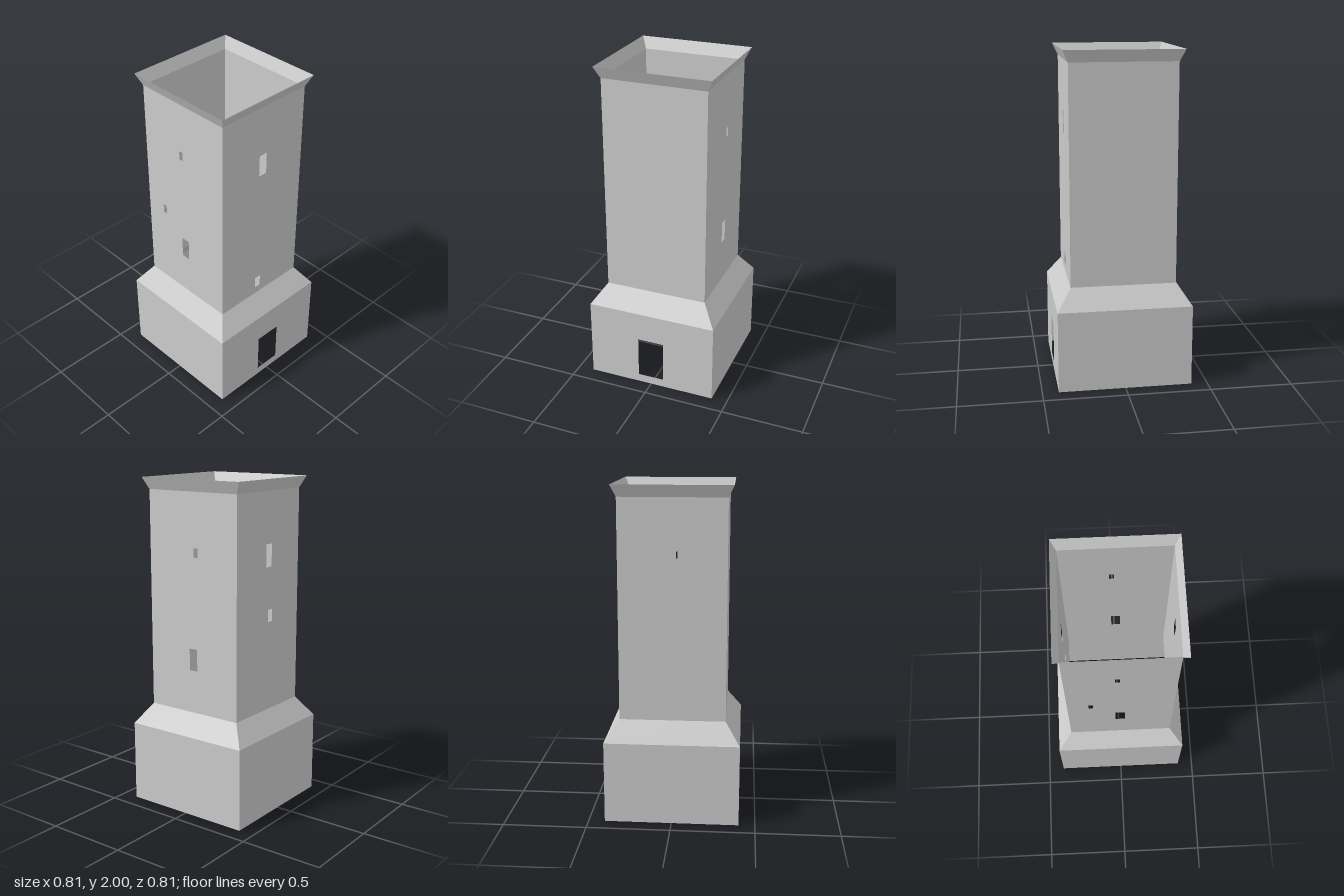
import * as THREE from 'three';

const BASE = 0.4025, SHAFT = 0.316, RIM = 0.348; // half widths
const Y_BASE = 0.495, Y_SHAFT = 0.62, Y_RIM = 1.93, Y_TOP = 2;

const material = new THREE.MeshStandardMaterial({
  color: 0xcccccc, flatShading: true, side: THREE.DoubleSide,
});

// Closed rectangle outline in the wall's own plane
function rectangle(PathType, u0, u1, y0, y1) {
  const p = new PathType();
  p.moveTo(u0, y0);
  p.lineTo(u1, y0);
  p.lineTo(u1, y1);
  p.lineTo(u0, y1);
  p.closePath();
  return p;
}

// Thin wall facing outward at a given turn; openings are [u0, u1, y0, y1]
function wall(name, half, y0, y1, turn, openings) {
  const shape = rectangle(THREE.Shape, -half, half, y0, y1);
  for (const o of openings) shape.holes.push(rectangle(THREE.Path, ...o));
  const geometry = new THREE.ShapeGeometry(shape);
  geometry.translate(0, 0, half).rotateY(turn);
  const mesh = new THREE.Mesh(geometry, material);
  mesh.name = name;
  return mesh;
}

// Open square band whose width changes between two heights
function band(name, halfBottom, halfTop, y0, y1) {
  const k = Math.SQRT2;
  const geometry = new THREE.CylinderGeometry(halfTop * k, halfBottom * k, y1 - y0, 4, 1, true);
  geometry.rotateY(Math.PI / 4).translate(0, (y0 + y1) / 2, 0);
  const mesh = new THREE.Mesh(geometry, material);
  mesh.name = name;
  return mesh;
}

export function createModel() {
  const model = new THREE.Group();
  model.name = 'tower';

  // Openings run left to right as seen from outside each wall
  const sides = [
    { name: 'front', turn: 0, door: [[-0.083, 0.082, 0.052, 0.312]],
      windows: [[-0.03, 0.026, 1.49, 1.625], [-0.04, 0.002, 0.667, 0.742]] },
    { name: 'left', turn: Math.PI / 2, door: [],
      windows: [[-0.026, 0.03, 0.88, 1.012], [0.01, 0.037, 1.556, 1.61]] },
    { name: 'back', turn: Math.PI, door: [],
      windows: [[-0.026, 0.03, 1.49, 1.625], [-0.002, 0.04, 1.16, 1.235]] },
    { name: 'right', turn: -Math.PI / 2, door: [],
      windows: [[-0.03, 0.026, 0.88, 1.012], [-0.031, -0.004, 1.573, 1.627],
        [-0.19, -0.163, 1.123, 1.177]] },
  ];
  for (const s of sides) {
    model.add(wall(s.name + 'BaseWall', BASE, 0, Y_BASE, s.turn, s.door));
    model.add(wall(s.name + 'ShaftWall', SHAFT, Y_SHAFT, Y_RIM, s.turn, s.windows));
  }

  // Sloped shoulder over the base and flared rim at the open top
  model.add(band('shoulder', BASE, SHAFT, Y_BASE, Y_SHAFT));
  model.add(band('flaredRim', SHAFT, RIM, Y_RIM, Y_TOP));
  return model;
}
